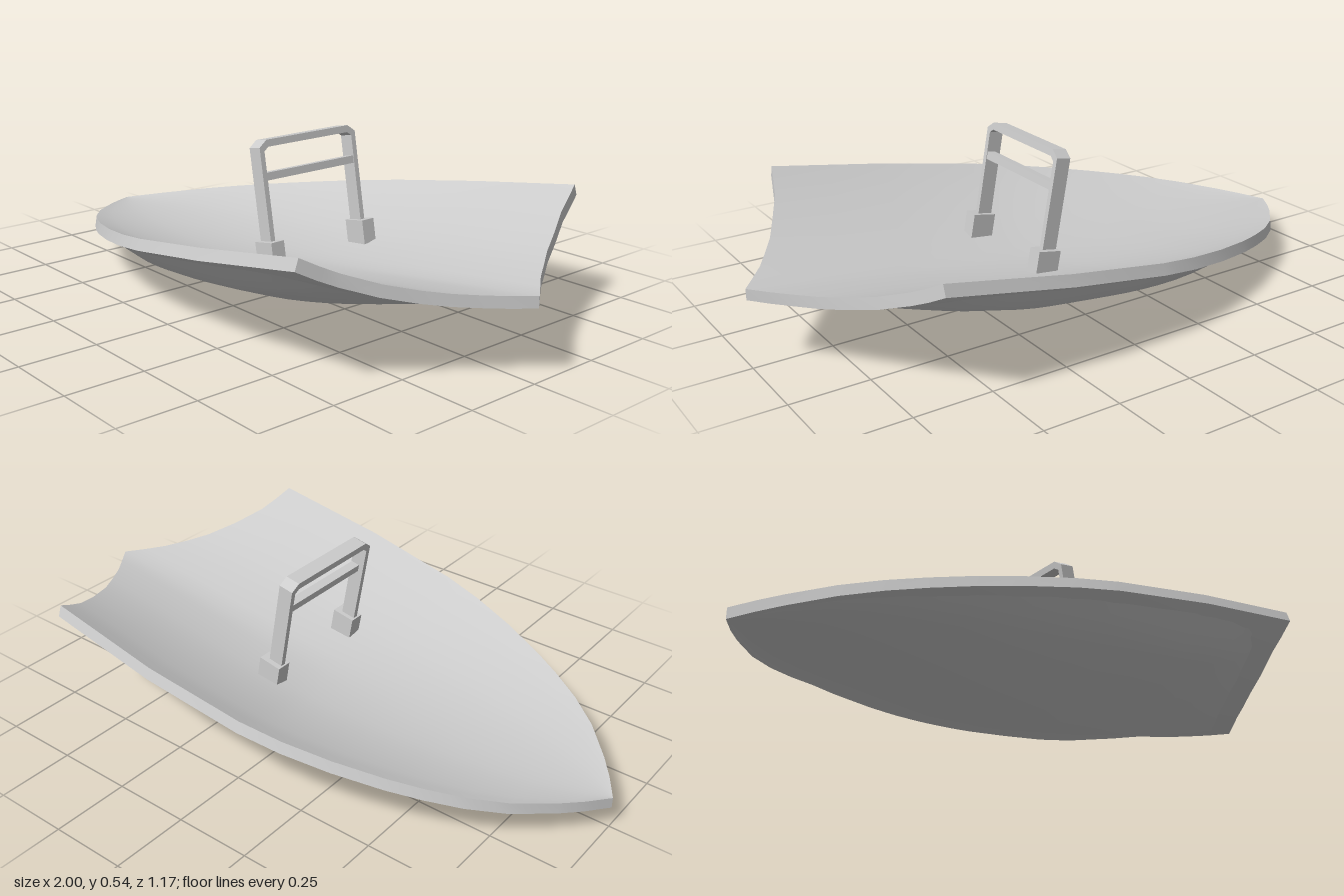
import * as THREE from 'three';

// piecewise-linear lookup in [input, output] pairs
function lookup(table, t) {
  if (t <= table[0][0]) return table[0][1];
  for (let i = 1; i < table.length; i++) {
    const [a, p] = table[i - 1], [b, q] = table[i];
    if (t <= b) return p + (q - p) * (t - a) / (b - a);
  }
  return table[table.length - 1][1];
}

// half width along the side edge, stern edge position, centre height of the deck
const WIDTH = [[-1, 0], [-0.95, 0.073], [-0.9, 0.135], [-0.8, 0.24], [-0.7, 0.315], [-0.6, 0.372],
  [-0.5, 0.42], [-0.35, 0.478], [-0.2, 0.522], [-0.06, 0.548], [0.28, 0.57], [0.68, 0.56]];
const STERN = [[0, 1], [0.21, 0.91], [0.46, 0.82], [0.8, 0.72], [1, 0.68]];
const CENTRE = [[0, 0.11], [0.25, 0.113], [0.4, 0.121], [0.5, 0.131], [0.6, 0.147], [0.7, 0.172],
  [0.8, 0.202], [0.9, 0.231], [1, 0.256]];
// hull depth below the deck at the keel and at the chine
const KEEL = [[0, 0], [0.12, 0.02], [0.225, 0.042], [0.41, 0.083], [0.5, 0.083], [0.58, 0.078],
  [0.75, 0.058], [0.85, 0.028], [0.955, 0]];
const CHINE = [[0, 0], [0.3, 0.022], [0.45, 0.036], [0.75, 0.05], [0.88, 0.04], [0.955, 0]];
const CHINE_AT = 0.83;
const THICK = 0.035;

// s runs bow to stern, v from one side to the other
function deckPoint(s, v, drop = 0) {
  const a = Math.abs(v);
  const x = -1 + s * (lookup(STERN, a) + 1);
  const z = v * lookup(WIDTH, -1 + 1.68 * s);
  const low = lookup(CENTRE, s), high = 0.11 + 0.29 * s;
  const y = low + (high - low) * a ** 2.25 - drop * THICK;
  return [x, y, z * (1 + 0.022 * drop)];
}

function hullPoint(s, v) {
  const [x, y, z] = deckPoint(s, v, 1);
  const a = Math.abs(v), keel = lookup(KEEL, s), chine = lookup(CHINE, s);
  const depth = lookup([[0, keel], [CHINE_AT, chine], [1, 0]], a);
  return [x, y + 0.001 - depth, z * 0.97];
}

// grid surface from a point rule
function surface(fn, us, vs, flip) {
  const pos = [], idx = [], n = vs.length;
  for (const u of us) for (const v of vs) pos.push(...fn(u, v));
  for (let i = 0; i < us.length - 1; i++) {
    for (let j = 0; j < n - 1; j++) {
      const a = i * n + j, b = a + n, c = a + 1, d = b + 1;
      if (flip) idx.push(a, b, c, c, b, d);
      else idx.push(a, c, b, c, d, b);
    }
  }
  const g = new THREE.BufferGeometry();
  g.setAttribute('position', new THREE.Float32BufferAttribute(pos, 3));
  g.setIndex(idx);
  g.computeVertexNormals();
  return g;
}

export function createModel() {
  const group = new THREE.Group();
  const grey = new THREE.MeshStandardMaterial({ color: 0xcccccc });
  grey.name = 'light grey';
  const add = (parent, name, geometry) => {
    const m = new THREE.Mesh(geometry, grey);
    m.name = name;
    parent.add(m);
    return m;
  };

  // sample positions: outline corners plus midpoints
  const refine = list => list.flatMap((t, i) => i ? [(t + list[i - 1]) / 2, t] : [t]);
  const mirror = list => [...list.slice(1).reverse().map(v => -v), ...list];
  const sRows = refine(WIDTH.map(([x]) => (x + 1) / 1.68));
  const vCols = mirror(refine(STERN.map(([v]) => v)));

  // curved deck slab
  const deck = new THREE.Group();
  deck.name = 'deck';
  group.add(deck);
  add(deck, 'deckTop', surface((s, v) => deckPoint(s, v), sRows, vCols, false));
  add(deck, 'deckUnderside', surface((s, v) => deckPoint(s, v, 1), sRows, vCols, true));
  for (const side of [1, -1]) {
    add(deck, side > 0 ? 'frontRim' : 'backRim',
      surface((s, drop) => deckPoint(s, side, drop), sRows, [0, 1], side < 0));
  }
  // the stern rim is split at its point to keep that edge sharp
  for (const cols of [vCols.filter(v => v >= 0), vCols.filter(v => v <= 0)]) {
    add(deck, 'sternRim', surface((v, drop) => deckPoint(1, v, drop), cols, [0, 1], true));
  }

  // keeled hull below the deck
  const hullRows = refine(KEEL.map(([s]) => s));
  const hullCols = mirror(refine([0, 0.21, 0.46, 0.65, CHINE_AT, 1]));
  add(group, 'hull', surface(hullPoint, hullRows, hullCols, true));

  // leaning handle
  const handle = new THREE.Group();
  handle.name = 'handle';
  handle.position.set(0.115, 0.16, 0);
  handle.rotation.z = 0.18;
  group.add(handle);

  // hoop with chamfered top corners
  const top = 0.384, half = 0.197, leg = 0.017, bar = 0.022;
  const outline = new THREE.Shape([
    [-half, 0], [-half, top - 0.021], [-half + 0.029, top], [half - 0.029, top], [half, top - 0.021], [half, 0],
    [half - leg, 0], [half - leg, top - 0.034], [half - leg - 0.017, top - bar],
    [-half + leg + 0.017, top - bar], [-half + leg, top - 0.034], [-half + leg, 0],
  ].map(p => new THREE.Vector2(...p)));
  const hoop = new THREE.ExtrudeGeometry(outline, { depth: 0.05, bevelEnabled: false });
  hoop.translate(0, 0, -0.025).rotateY(Math.PI / 2);
  add(handle, 'hoop', hoop);

  add(handle, 'crossBar', new THREE.BoxGeometry(0.03, 0.024, 2 * (half - leg) + 0.004))
    .position.set(0.008, 0.272, 0);

  for (const side of [1, -1]) {
    add(handle, 'foot', new THREE.BoxGeometry(0.08, 0.09, 0.05)).position.set(0.009, 0.028, side * 0.19);
  }
  return group;
}
